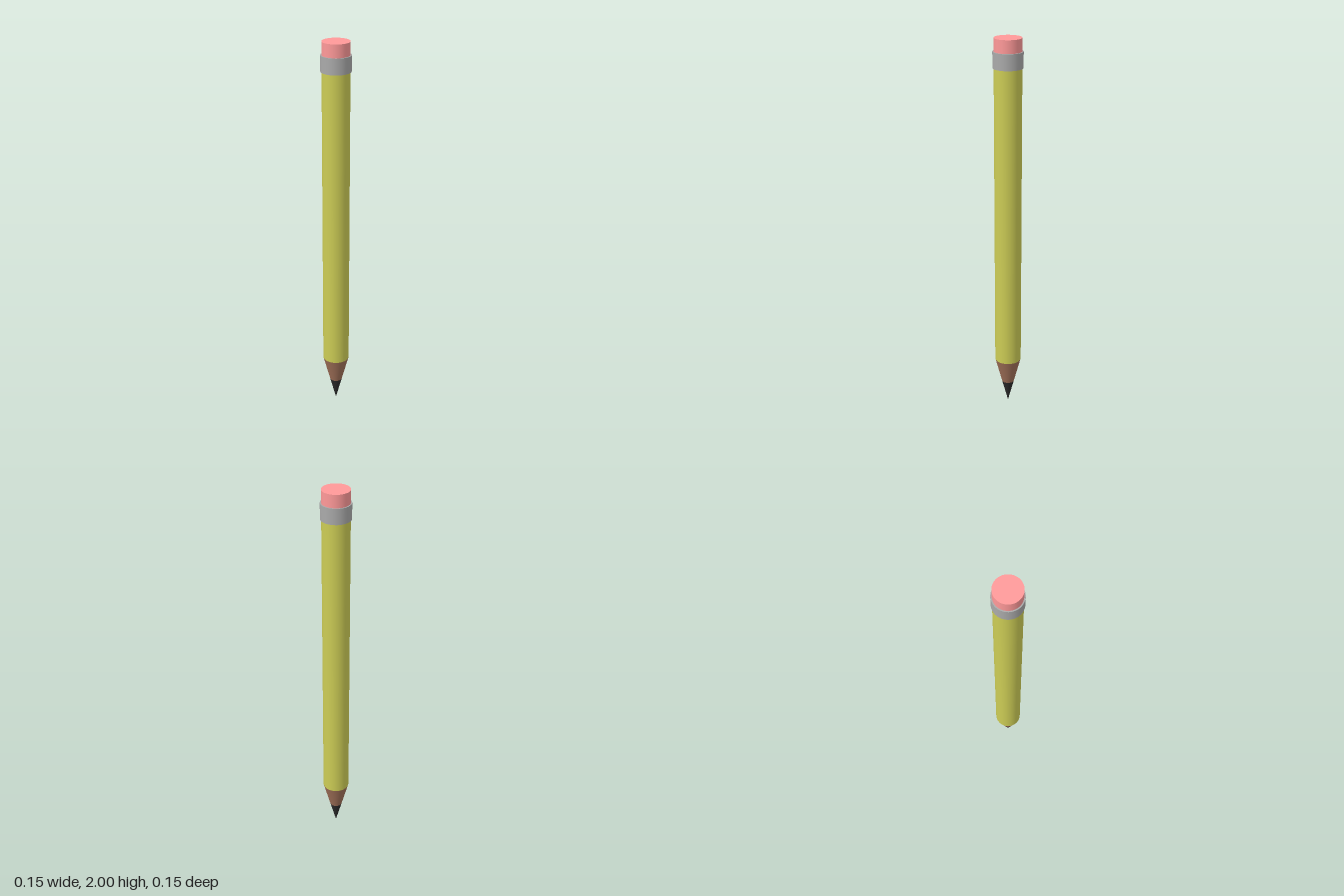
import * as THREE from 'three';

const SIDES = 48;
const RADIUS = 0.069;

export function createModel() {
  const pencil = new THREE.Group();
  pencil.name = 'pencil';

  // Upright round section between two heights
  function addSection(name, color, y0, y1, r0, r1) {
    const geometry = new THREE.CylinderGeometry(r1, r0, y1 - y0, SIDES);
    const mesh = new THREE.Mesh(geometry, new THREE.MeshStandardMaterial({ color }));
    mesh.name = name;
    mesh.position.y = (y0 + y1) / 2;
    pencil.add(mesh);
  }

  // Sharpened end: one straight cone split into lead and wood
  const coneTop = 0.265, leadTop = 0.125;
  const leadRadius = RADIUS * leadTop / coneTop;
  addSection('leadTip', 0x2b2b2b, 0, leadTop, 0, leadRadius);
  addSection('sharpenedWood', 0xa07058, leadTop, coneTop, leadRadius, RADIUS);

  // Painted shaft, metal band and eraser
  addSection('shaft', 0xcccc55, coneTop, 1.87, RADIUS, RADIUS);
  addSection('ferrule', 0xaaaaaa, 1.855, 1.935, 0.075, 0.075);
  addSection('eraser', 0xff9999, 1.92, 2, RADIUS, RADIUS);

  return pencil;
}
